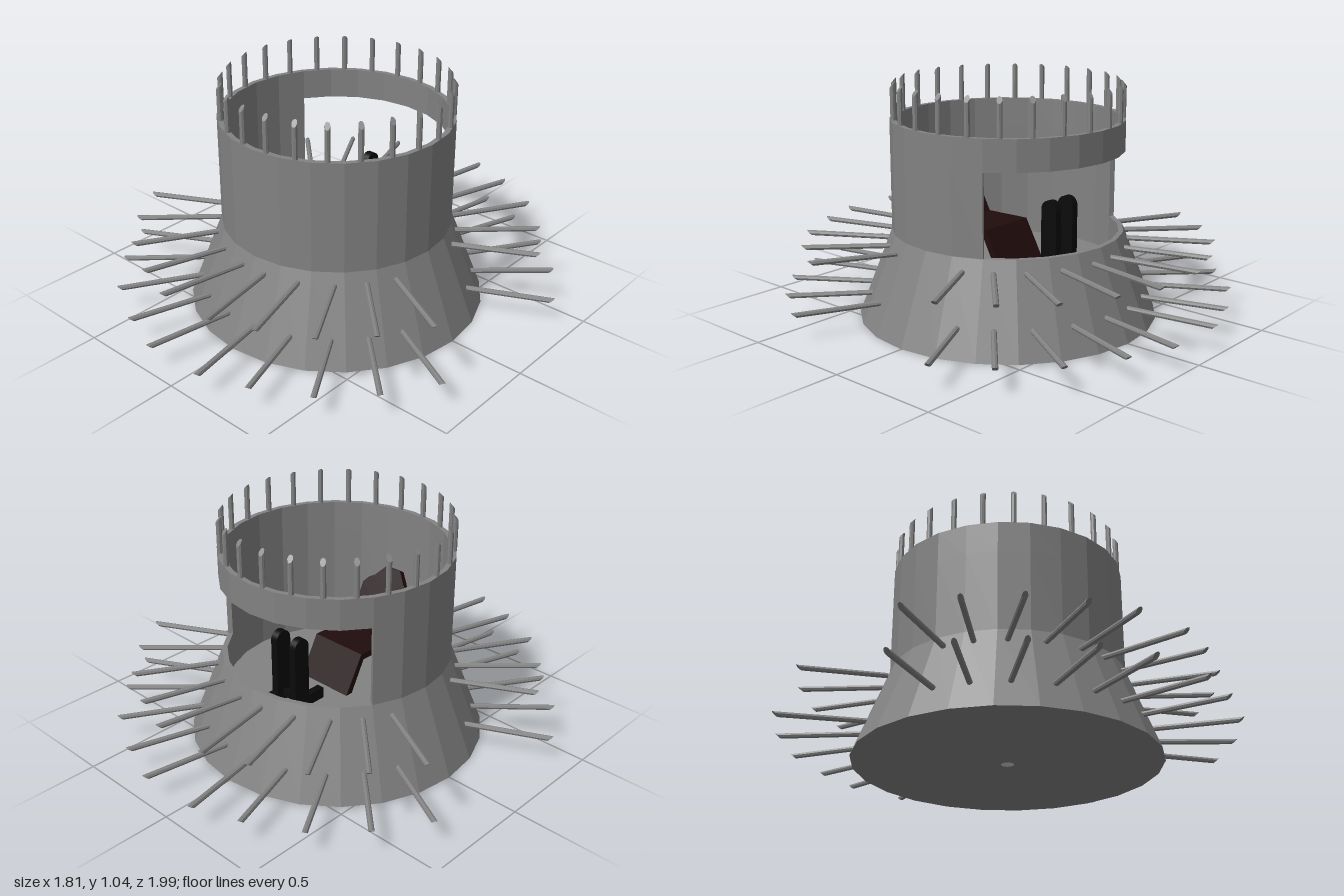
import * as THREE from 'three';

const SEG = 24, STEP = Math.PI * 2 / SEG;
const paint = (color) => new THREE.MeshStandardMaterial({ color, flatShading: true });
const grey = paint(0x828282), pale = paint(0xffffff), brown = paint(0x200c0c), black = paint(0x0a0a0a);

function add(parent, name, geometry, material) {
  const mesh = new THREE.Mesh(geometry, material);
  mesh.name = name;
  parent.add(mesh);
  return mesh;
}

function addGroup(parent, name) {
  const group = new THREE.Group();
  group.name = name;
  parent.add(group);
  return group;
}

// Faceted ring sector standing between two heights; steps count from +x through the back
function ringSector(first, last, y0, y1, outer = 0.51, inner = 0.487) {
  const shape = new THREE.Shape();
  const pts = (r) => Array.from({ length: last - first + 1 }, (_, i) =>
    new THREE.Vector2(r * Math.cos((first + i) * STEP), r * Math.sin((first + i) * STEP)));
  if (last - first === SEG) {
    shape.setFromPoints(pts(outer));
    shape.holes.push(new THREE.Path(pts(inner).reverse()));
  } else {
    shape.setFromPoints([...pts(outer), ...pts(inner).reverse()]);
  }
  const g = new THREE.ExtrudeGeometry(shape, { depth: y1 - y0, bevelEnabled: false });
  return g.rotateX(-Math.PI / 2).translate(0, y0, 0);
}

// Rod along +y whose end is cut at a slant, shorter on its +z side
function spikeGeometry(length, radius = 0.012) {
  const g = new THREE.CylinderGeometry(radius, radius, length, 8).translate(0, length / 2, 0);
  const p = g.attributes.position;
  for (let i = 0; i < p.count; i++) {
    if (p.getY(i) > length / 2) p.setY(i, length - 0.014 * (1 + p.getZ(i) / radius));
  }
  g.computeVertexNormals();
  return g;
}

// Spike lying from one point to another, its slanted cut facing down
function spikeBetween(parent, name, from, to) {
  const d = to.clone().sub(from);
  const mesh = add(parent, name, spikeGeometry(d.length()), grey);
  mesh.position.copy(from);
  mesh.rotation.set(Math.acos(d.y / d.length()), Math.atan2(d.x, d.z), 0, 'YXZ');
}

export function createModel() {
  const model = new THREE.Group();
  model.name = 'spikedTurret';

  // Flared base with a sunken floor and a small plug in its underside
  const floorY = 0.22;
  const profile = [[0.028, 0], [0.66, 0], [0.51, 0.385], [0.487, 0.385], [0.487, floorY], [0, floorY]]
    .map(([x, y]) => new THREE.Vector2(x, y));
  add(model, 'base', new THREE.LatheGeometry(profile, SEG), grey);
  add(model, 'bottomPlug', new THREE.CylinderGeometry(0.028, 0.028, 0.02, SEG).translate(0, 0.01, 0), pale);

  // Wall open by 120 degrees at the back, closed above by a full band
  add(model, 'wall', ringSector(10, 26, 0.385, 0.74), grey);
  add(model, 'upperBand', ringSector(0, SEG, 0.74, 0.875), grey);

  // Crown of upright spikes
  const crown = addGroup(model, 'crownSpikes');
  for (let i = 0; i < SEG; i++) {
    const a = (i + 0.5) * STEP;
    const spike = add(crown, 'crownSpike', spikeGeometry(0.165), grey);
    spike.position.set(0.495 * Math.sin(a), 0.875, 0.495 * Math.cos(a));
    spike.rotation.y = a;
  }

  // Two rows of outward spikes: root and tip in x, z, mirrored to all four quarters
  const lines = [
    [0.06, 0.51, 0.145, 0.995], [0.21, 0.47, 0.355, 0.92], [0.335, 0.39, 0.585, 0.795],
    [0.43, 0.3, 0.767, 0.612], [0.495, 0.19, 0.905, 0.397],
  ];
  const rows = [['lowerSpike', 0.12, 0.115, 1], ['upperSpike', 0.33, 0.33, 0.92]];
  const sideSpikes = addGroup(model, 'sideSpikes');
  for (const [name, y0, y1, reach] of rows)
    for (const [x0, z0, x1, z1] of lines)
      for (const sx of [-1, 1])
        for (const sz of [-1, 1])
          spikeBetween(sideSpikes, name,
            new THREE.Vector3(sx * x0, y0, sz * z0),
            new THREE.Vector3(sx * x1 * reach, y1, sz * z1 * reach));

  // Seat: bent panel with a sloping front, then a reclined back with tapered headrest
  const seat = addGroup(model, 'seat');
  const bend = new THREE.Shape([[-0.085, floorY], [0.01, 0.39], [0.25, 0.385], [0.25, 0.355],
    [0.025, 0.36], [-0.05, floorY]].map(([z, y]) => new THREE.Vector2(z, y)));
  add(seat, 'seatPanel', new THREE.ExtrudeGeometry(bend, { depth: 0.275, bevelEnabled: false })
    .translate(0, 0, -0.1375).rotateY(-Math.PI / 2), brown);
  const back = new THREE.Shape([[-0.1375, 0], [0.1375, 0], [0.1375, 0.2], [0.115, 0.23], [0.085, 0.25],
    [0.04, 0.305], [-0.04, 0.305], [-0.085, 0.25], [-0.115, 0.23], [-0.1375, 0.2]]
    .map(([x, y]) => new THREE.Vector2(x, y)));
  const backrest = add(seat, 'backrest',
    new THREE.ExtrudeGeometry(back, { depth: 0.03, bevelEnabled: false }), brown);
  backrest.position.set(0, 0.37, 0.225);
  backrest.rotation.x = 0.5;

  // Pair of round-topped pedals on long feet, joined by a bar
  const pedals = addGroup(model, 'pedals');
  const plate = new THREE.Shape();
  plate.moveTo(-0.04, floorY).lineTo(0.04, floorY).lineTo(0.04, 0.52);
  plate.absarc(0, 0.52, 0.04, 0, Math.PI, false);
  for (const x of [-0.055, 0.055]) {
    add(pedals, 'pedal', new THREE.ExtrudeGeometry(plate, { depth: 0.034, bevelEnabled: false, curveSegments: 8 })
      .translate(0, 0, -0.017).rotateY(-Math.PI / 2).translate(x, 0, -0.29), black);
    add(pedals, 'pedalFoot', new THREE.BoxGeometry(0.034, 0.05, 0.235)
      .translate(x, floorY + 0.025, -0.28), black);
  }
  add(pedals, 'pedalBar', new THREE.BoxGeometry(0.11, 0.03, 0.03)
    .translate(0, floorY + 0.04, -0.285), black);

  return model;
}
